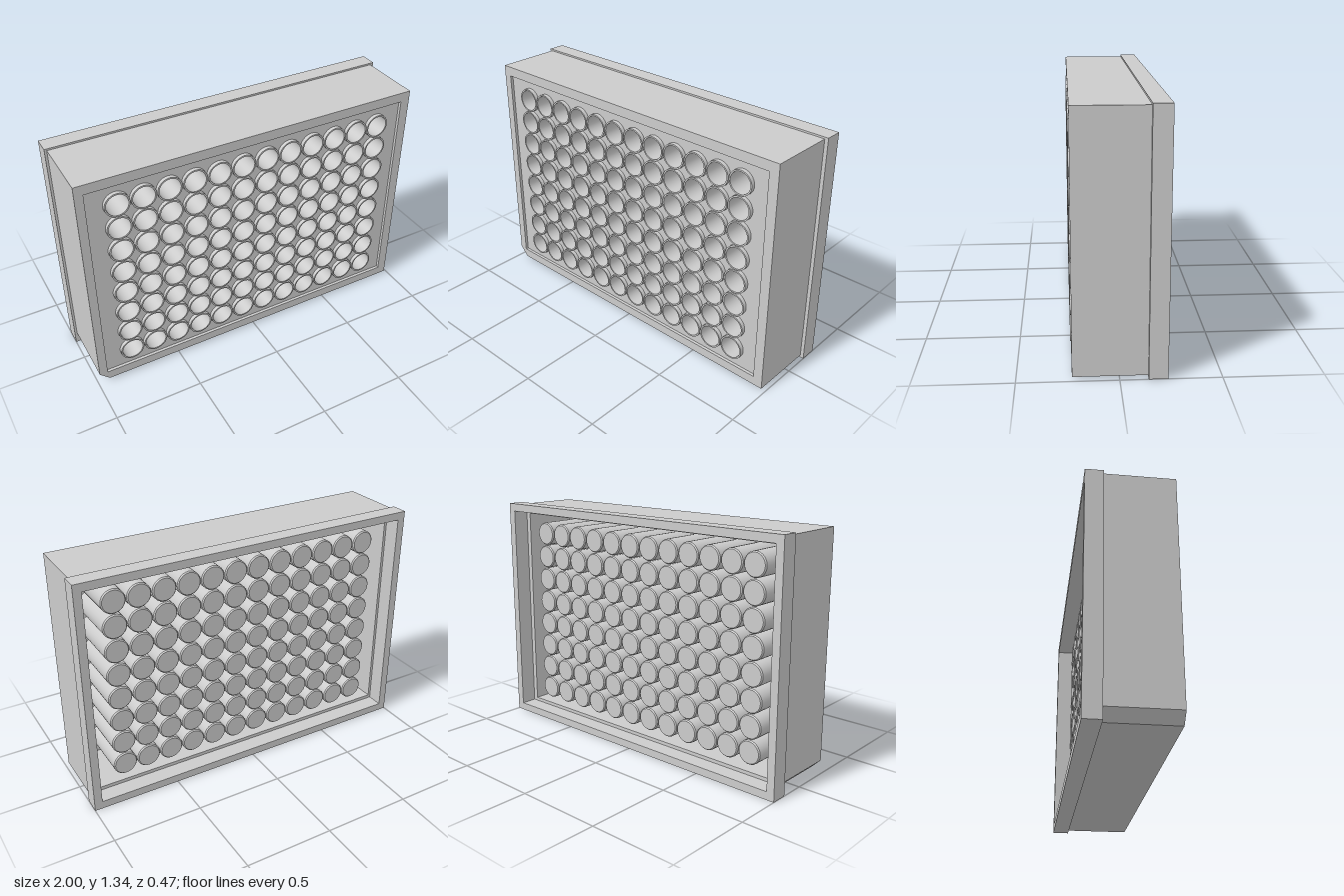
import * as THREE from 'three';
import { toCreasedNormals } from 'three/addons/utils/BufferGeometryUtils.js';

const COLS = 12, ROWS = 8, PITCH = 0.141;
const WELL_X = -0.005, WELL_Y = 0.67;
const FRONT_Z = 0.23, STEP_Z = -0.14, BACK_Z = -0.235;

const material = new THREE.MeshStandardMaterial({ color: 0xcccccc, side: THREE.DoubleSide });

// Rectangle outline with an optional cut at the lower -x corner
function outline(target, x0, x1, y0, y1, cut = 0) {
  target.moveTo(x0 + cut, y0);
  target.lineTo(x1, y0);
  target.lineTo(x1, y1);
  target.lineTo(x0, y1);
  target.lineTo(x0, y0 + cut);
  target.closePath();
  return target;
}

function slab(name, shape, z0, z1) {
  const geometry = new THREE.ExtrudeGeometry(shape, { depth: z1 - z0, bevelEnabled: false, curveSegments: 16 });
  geometry.translate(0, 0, z0);
  const mesh = new THREE.Mesh(geometry, material);
  mesh.name = name;
  return mesh;
}

function eachWell(fn) {
  for (let r = 0; r < ROWS; r++)
    for (let c = 0; c < COLS; c++)
      fn(WELL_X + (c - (COLS - 1) / 2) * PITCH, WELL_Y + (r - (ROWS - 1) / 2) * PITCH);
}

export function createModel() {
  const model = new THREE.Group();
  model.name = 'wellPlate';

  // Hollow body wall with one cut corner
  const wall = outline(new THREE.Shape(), -0.987, 0.98, 0.013, 1.33, 0.055);
  wall.holes.push(outline(new THREE.Path(), -0.94, 0.925, 0.065, 1.275));
  model.add(slab('bodyWall', wall, STEP_Z, FRONT_Z));

  // Wider skirt around the open back
  const skirt = outline(new THREE.Shape(), -1, 1, 0, 1.34);
  skirt.holes.push(outline(new THREE.Path(), -0.955, 0.955, 0.045, 1.295));
  model.add(slab('skirt', skirt, BACK_Z, STEP_Z));

  // Recessed deck, pierced by the wells
  const deck = outline(new THREE.Shape(), -0.945, 0.93, 0.06, 1.28);
  eachWell((x, y) => deck.holes.push(new THREE.Path().absarc(x, y, 0.067, 0, Math.PI * 2, true)));
  model.add(slab('deck', deck, 0.185, 0.213));

  // Wells: closed tubes with a raised rim at the front
  const profile = [
    [0, -0.15], [0.062, -0.15], [0.068, -0.143], [0.0685, 0.235],
    [0.06, 0.235], [0.057, -0.135], [0, -0.135],
  ].map(([r, y]) => new THREE.Vector2(r, y));
  const lathe = new THREE.LatheGeometry(profile, 28).rotateX(Math.PI / 2);
  const wellGeometry = toCreasedNormals(lathe, 0.6);
  const wells = new THREE.Group();
  wells.name = 'wells';
  eachWell((x, y) => {
    const well = new THREE.Mesh(wellGeometry, material);
    well.name = 'well';
    well.position.set(x, y, 0);
    wells.add(well);
  });
  model.add(wells);

  return model;
}
